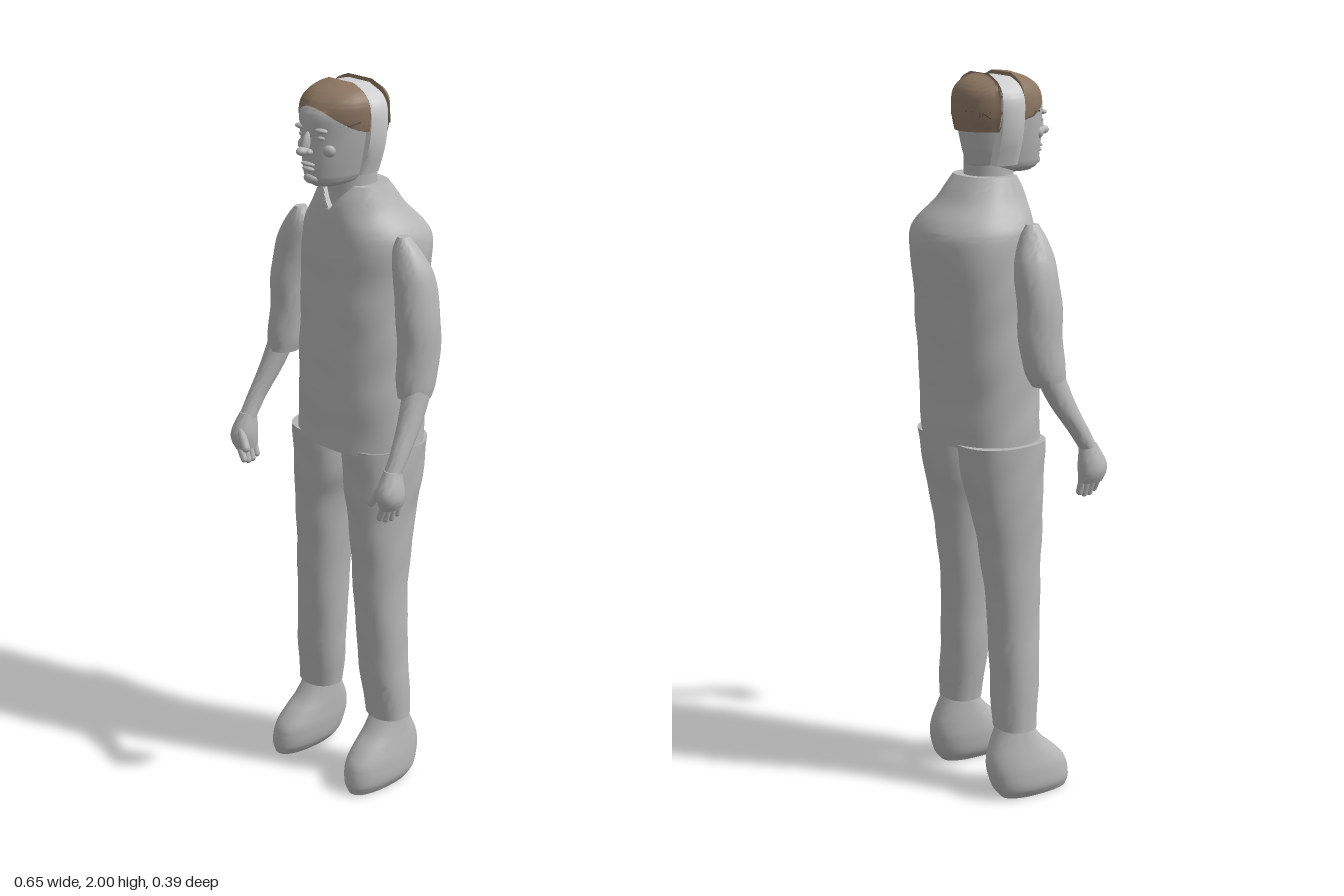
import * as THREE from 'three';
import { toCreasedNormals, mergeGeometries } from 'three/addons/utils/BufferGeometryUtils.js';

const mat = (name, color) => {
  const m = new THREE.MeshStandardMaterial({ color });
  m.name = name;
  return m;
};

// Smooth closed body through sections [y, centreX, halfWidth, zBack, zFront], listed from bottom to top.
function loft(sections, { side = 1, power = 2, rows = 28, segs = 36, ripple = 0, rule = null } = {}) {
  const a = new THREE.CatmullRomCurve3(sections.map(s => new THREE.Vector3(s[0], s[1] * side, s[2])), false, 'catmullrom', 0.5);
  const b = new THREE.CatmullRomCurve3(sections.map(s => new THREE.Vector3(s[3], s[4], 0)), false, 'catmullrom', 0.5);
  const bend = v => Math.sign(v) * Math.pow(Math.abs(v), 2 / power);
  const pos = [], idx = [], v = new THREE.Vector3();
  const put = (x, y, z) => {
    v.set(x, y, z);
    if (rule) rule(v);
    pos.push(v.x, v.y, v.z);
  };
  for (let i = 0; i <= rows; i++) {
    const p = a.getPoint(i / rows), q = b.getPoint(i / rows);
    for (let j = 0; j < segs; j++) {
      const t = j / segs * Math.PI * 2;
      const w = 1 + ripple * Math.sin(p.x * 38 + 2 * Math.sin(t * 2)) * Math.cos(t * 3 + p.x * 9);
      put(p.y + p.z * w * bend(Math.cos(t)), p.x, (q.x + q.y) / 2 + (q.y - q.x) / 2 * w * bend(Math.sin(t)));
    }
  }
  for (let i = 0; i < rows; i++) for (let j = 0; j < segs; j++) {
    const n = (j + 1) % segs, p = i * segs + j, q = i * segs + n;
    idx.push(p, p + segs, q, q, p + segs, q + segs);
  }
  // end caps
  for (const [t, row] of [[0, 0], [1, rows]]) {
    const p = a.getPoint(t), q = b.getPoint(t), c = pos.length / 3;
    put(p.y, p.x, (q.x + q.y) / 2);
    for (let j = 0; j < segs; j++) {
      const m = row * segs + j, n = row * segs + (j + 1) % segs;
      if (t) idx.push(c, n, m); else idx.push(c, m, n);
    }
  }
  const g = new THREE.BufferGeometry();
  g.setAttribute('position', new THREE.Float32BufferAttribute(pos, 3));
  g.setIndex(idx);
  return toCreasedNormals(g, 0.8);
}

export function createModel() {
  const model = new THREE.Group();
  const grey = mat('bodyGrey', 0xb6b6b6), pale = mat('paleGrey', 0xd0d0d0);
  const brown = mat('hairBrown', 0x8c7662), dark = mat('strandBrown', 0x5c4d40);
  const add = (name, geo, material = grey, parent = model) => {
    const m = new THREE.Mesh(geo, material);
    m.name = name;
    parent.add(m);
    return m;
  };

  // shirt, with the collar dipping into a V at the front
  add('shirt', loft([
    [1.01, 0.01, 0.19, -0.15, 0.13], [1.15, 0.008, 0.188, -0.157, 0.128], [1.3, 0.004, 0.185, -0.17, 0.122],
    [1.45, 0, 0.182, -0.185, 0.116], [1.56, 0, 0.182, -0.195, 0.112], [1.61, 0, 0.17, -0.175, 0.108],
    [1.66, 0, 0.13, -0.13, 0.1], [1.7, 0, 0.108, -0.1, 0.09], [1.73, 0, 0.094, -0.075, 0.075],
  ], { power: 2.25, rows: 48, segs: 56, ripple: 0.012, rule: v => {
    if (v.z > 0.02) v.y = Math.min(v.y, 1.665 + Math.abs(v.x) * 1.2);
  } }));

  // limbs
  for (const s of [1, -1]) {
    const tag = s > 0 ? 'left' : 'right';
    const leg = new THREE.Group(), arm = new THREE.Group();
    leg.name = tag + 'Leg';
    arm.name = tag + 'Arm';
    model.add(leg, arm);

    add('trouserLeg', loft([
      [0.2, 0.14, 0.065, -0.05, 0.062], [0.3, 0.132, 0.071, -0.052, 0.073], [0.4, 0.125, 0.072, -0.052, 0.08],
      [0.6, 0.115, 0.073, -0.062, 0.09], [0.8, 0.108, 0.083, -0.095, 0.1], [0.9, 0.1, 0.097, -0.118, 0.106],
      [1.02, 0.1, 0.1, -0.14, 0.11],
    ], { side: s, power: 2.2, rows: 40, ripple: 0.02 }), grey, leg);

    add('shoe', loft([
      [0, 0.155, 0.043, -0.045, 0.165], [0.03, 0.153, 0.06, -0.068, 0.172], [0.08, 0.149, 0.063, -0.083, 0.163],
      [0.12, 0.146, 0.059, -0.083, 0.13], [0.16, 0.143, 0.054, -0.068, 0.085], [0.22, 0.14, 0.047, -0.038, 0.04],
    ], { side: s, power: 2.3, rule: v => { v.y = Math.max(0, v.y); } }), grey, leg);

    add('sleeve', loft([
      [1.2, 0.257, 0.043, -0.015, 0.078], [1.24, 0.254, 0.05, -0.035, 0.078], [1.32, 0.25, 0.053, -0.05, 0.072],
      [1.42, 0.244, 0.055, -0.053, 0.07], [1.52, 0.226, 0.053, -0.048, 0.064], [1.58, 0.207, 0.04, -0.022, 0.052],
      [1.62, 0.197, 0.014, 0, 0.036],
    ], { side: s, ripple: 0.03, rows: 32 }), grey, arm);

    add('forearm', loft([
      [1.01, 0.288, 0.023, 0.12, 0.172], [1.07, 0.286, 0.024, 0.08, 0.14], [1.15, 0.276, 0.03, 0.025, 0.1],
      [1.24, 0.264, 0.036, -0.02, 0.065],
    ], { side: s, segs: 24, rows: 16 }), grey, arm);

    add('palm', loft([
      [0.925, 0.29, 0.024, 0.112, 0.182], [0.95, 0.293, 0.032, 0.11, 0.192], [0.98, 0.292, 0.032, 0.11, 0.192],
      [1.03, 0.288, 0.021, 0.115, 0.165],
    ], { side: s, segs: 24, rows: 12 }), grey, arm);

    // each digit runs between two points
    const digit = (name, from, to, r) => {
      const p = new THREE.Vector3(from[0] * s, from[1], from[2]), q = new THREE.Vector3(to[0] * s, to[1], to[2]);
      const d = q.clone().sub(p);
      const m = add(name, new THREE.CapsuleGeometry(r, d.length(), 4, 10), grey, arm);
      m.position.copy(p).add(q).multiplyScalar(0.5);
      m.quaternion.setFromUnitVectors(new THREE.Vector3(0, 1, 0), d.normalize());
    };
    for (let i = 0; i < 4; i++) {
      const z = 0.12 + i * 0.018;
      digit('finger', [0.295, 0.945, z], [0.282 - i * 0.003, 0.898 - (i % 3 ? 0.008 : 0), z - 0.002], 0.0095);
    }
    digit('thumb', [0.282, 0.985, 0.175], [0.252, 0.94, 0.182], 0.012);
  }

  // head and neck
  const cx = -0.008;
  const head = new THREE.Group();
  head.name = 'head';
  model.add(head);
  add('neck', loft([
    [1.6, 0, 0.075, -0.06, 0.085], [1.7, 0, 0.067, -0.055, 0.078], [1.8, 0, 0.066, -0.055, 0.08],
  ], { rows: 8 }), grey, head);
  add('skull', loft([
    [1.735, cx, 0.035, 0.03, 0.135], [1.75, cx, 0.062, -0.045, 0.155], [1.78, cx, 0.073, -0.062, 0.16],
    [1.82, cx, 0.083, -0.072, 0.162], [1.87, cx, 0.093, -0.08, 0.161], [1.92, cx, 0.098, -0.083, 0.161],
    [1.95, cx, 0.092, -0.075, 0.143], [1.975, cx, 0.07, -0.045, 0.105], [1.985, cx, 0.035, -0.01, 0.065],
  ], { rows: 36, segs: 48 }), grey, head);

  // facial relief: x offset, y, z, then the three radii
  const lump = (name, x, y, z, rx, ry, rz, tilt = 0) => {
    const m = add(name, new THREE.SphereGeometry(1, 16, 12), grey, head);
    m.position.set(cx + x, y, z);
    m.scale.set(rx, ry, rz);
    m.rotation.x = tilt;
  };
  lump('noseBridge', 0, 1.855, 0.165, 0.01, 0.032, 0.015, -0.35);
  lump('noseTip', 0, 1.835, 0.178, 0.014, 0.012, 0.021);
  lump('upperLip', 0, 1.798, 0.161, 0.024, 0.006, 0.011);
  lump('lowerLip', 0, 1.785, 0.16, 0.021, 0.007, 0.011);
  lump('chin', 0, 1.759, 0.148, 0.025, 0.015, 0.018);
  for (const s of [1, -1]) {
    lump('nostril', s * 0.012, 1.832, 0.167, 0.008, 0.008, 0.011);
    lump('brow', s * 0.034, 1.889, 0.149, 0.025, 0.007, 0.012);
    lump('eye', s * 0.033, 1.869, 0.146, 0.014, 0.007, 0.01);
    lump('cheek', s * 0.042, 1.837, 0.13, 0.024, 0.02, 0.018);
  }

  // pale band that runs over the head from ear to ear
  add('headBand', loft([
    [1.76, -0.012, 0.082, -0.08, 0.11], [1.83, -0.012, 0.108, -0.09, 0.12], [1.89, -0.012, 0.118, -0.09, 0.12],
    [1.94, -0.012, 0.115, -0.09, 0.12], [1.97, -0.012, 0.09, -0.08, 0.11], [1.988, -0.012, 0.045, -0.06, 0.09],
  ], { segs: 48, rule: v => { v.z = THREE.MathUtils.clamp(v.z, -0.022, 0.045); } }), pale, head);

  // hair in front of and behind the band
  const hairSections = [
    [1.85, cx, 0.099, -0.086, 0.148], [1.9, cx, 0.11, -0.092, 0.156], [1.95, cx, 0.108, -0.088, 0.149],
    [1.98, cx, 0.085, -0.06, 0.118], [1.998, cx, 0.045, -0.015, 0.07],
  ];
  add('frontHair', loft(hairSections, { segs: 64, ripple: 0.015, rule: v => {
    v.z = Math.max(v.z, 0.045);
    v.y = Math.max(v.y, 1.947 - 6 * (v.x - cx) ** 2);
  } }), brown, head);
  add('backHair', loft(hairSections, { segs: 64, ripple: 0.015, rule: v => { v.z = Math.min(v.z, -0.022); } }), brown, head);

  // loose strands lying on the hair
  let seed = 7;
  const rnd = () => (seed = (seed * 16807) % 2147483647) / 2147483647;
  const strands = [], o = new THREE.Object3D();
  while (strands.length < 70) {
    const t = rnd() * Math.PI * 2, h = 0.05 + rnd() * 0.85, r = Math.sqrt(1 - h * h);
    const n = new THREE.Vector3(Math.cos(t) * r, h, Math.sin(t) * r);
    o.position.set(cx + n.x * 0.111, 1.89 + n.y * 0.108, 0.031 + n.z * 0.121);
    const front = o.position.z > 0.065 && o.position.y > 1.955 - 6 * (o.position.x - cx) ** 2;
    if (!front && o.position.z > -0.04) continue;
    o.lookAt(o.position.clone().add(n));
    o.rotateZ(rnd() * Math.PI);
    o.updateMatrix();
    strands.push(new THREE.BoxGeometry(0.035, 0.003, 0.004).applyMatrix4(o.matrix));
  }
  add('hairStrands', mergeGeometries(strands), dark, head);

  return model;
}
